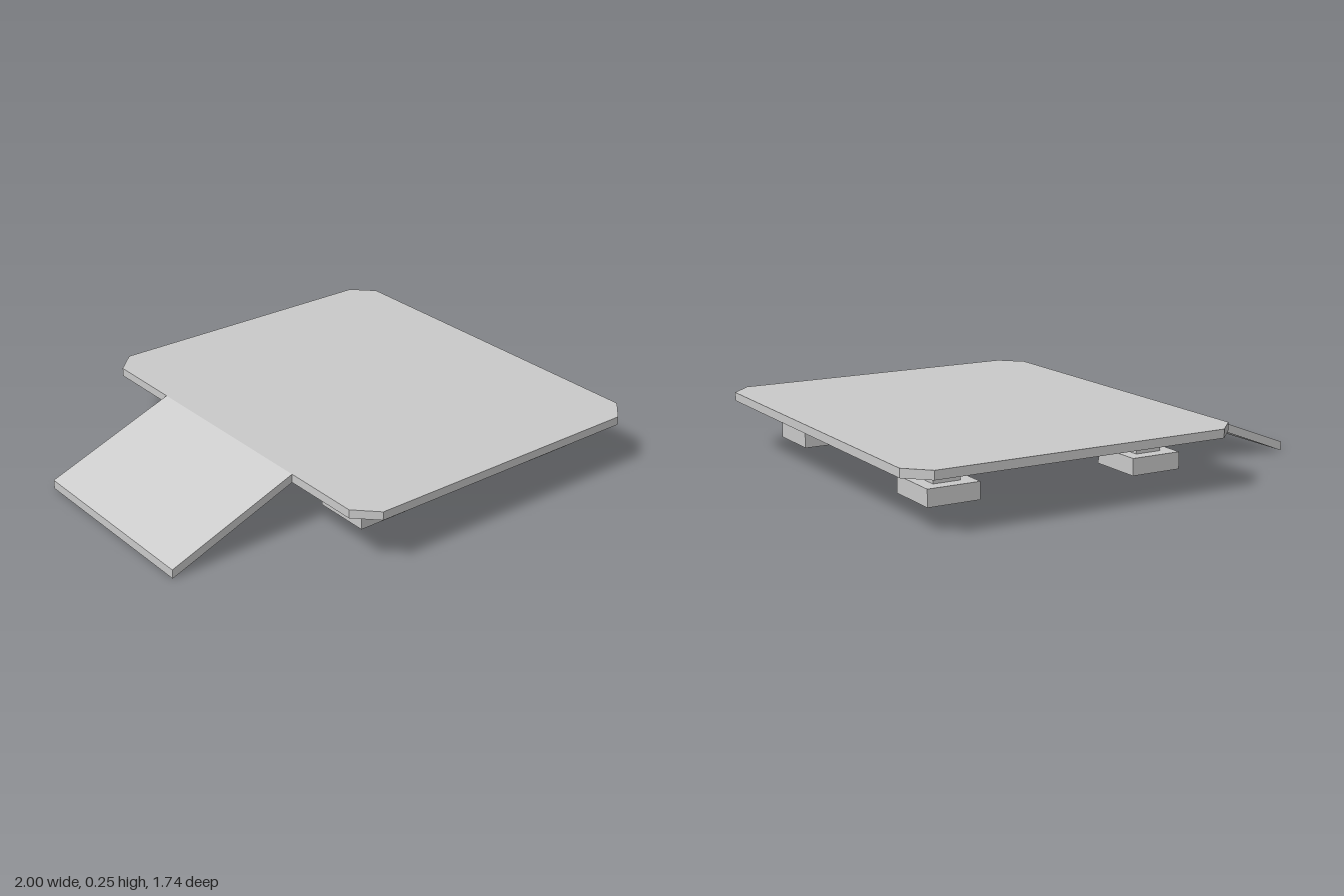
import * as THREE from 'three';

const material = new THREE.MeshStandardMaterial({ color: 0xcccccc, flatShading: true });

const DECK_X = 0.28; // centre of the deck along x

function addMesh(parent, name, geometry, x = 0, y = 0, z = 0) {
  const mesh = new THREE.Mesh(geometry, material);
  mesh.name = name;
  mesh.position.set(x, y, z);
  parent.add(mesh);
  return mesh;
}

// Rectangle with cut corners, counter-clockwise seen from above
function deckRing(scale, y) {
  const a = 0.72, b = 0.87, c = 0.09;
  return [
    [a, b - c], [a, c - b], [a - c, -b], [c - a, -b],
    [-a, c - b], [-a, b - c], [c - a, b], [a - c, b],
  ].map(([x, z]) => new THREE.Vector3(x * scale, y, z * scale));
}

// Closed solid through stacked rings, listed from bottom to top
function loft(rings) {
  const points = [];
  const n = rings[0].length;
  const bottom = rings[0];
  const top = rings[rings.length - 1];
  for (let r = 0; r < rings.length - 1; r++) {
    const lo = rings[r], hi = rings[r + 1];
    for (let i = 0; i < n; i++) {
      const j = (i + 1) % n;
      points.push(lo[i], lo[j], hi[j], lo[i], hi[j], hi[i]);
    }
  }
  for (let i = 1; i < n - 1; i++) {
    points.push(top[0], top[i], top[i + 1]);
    points.push(bottom[0], bottom[i + 1], bottom[i]);
  }
  const geometry = new THREE.BufferGeometry().setFromPoints(points);
  geometry.computeVertexNormals();
  return geometry;
}

export function createModel() {
  const model = new THREE.Group();
  model.name = 'rampedPlatform';

  // Deck: flat slab with a shallow tapered underside
  const deck = loft([deckRing(0.71, 0.205), deckRing(1, 0.217), deckRing(1, 0.253)]);
  addMesh(model, 'deck', deck, DECK_X);

  // Ramp: sloping slab from the ground up to the deck edge
  const profile = new THREE.Shape([
    new THREE.Vector2(-1, 0),
    new THREE.Vector2(-0.44, 0.217),
    new THREE.Vector2(-0.44, 0.253),
    new THREE.Vector2(-1, 0.038),
  ]);
  const ramp = new THREE.ExtrudeGeometry(profile, { depth: 0.87, bevelEnabled: false });
  addMesh(model, 'ramp', ramp, 0, 0, -0.435);

  // Four feet: short post on a wider pad
  for (const sx of [-1, 1]) {
    for (const sz of [-1, 1]) {
      const foot = new THREE.Group();
      foot.name = 'foot';
      foot.position.set(DECK_X - 0.005 + sx * 0.45, 0, sz * 0.547);
      addMesh(foot, 'post', new THREE.BoxGeometry(0.115, 0.085, 0.135), 0, 0.1725, 0);
      addMesh(foot, 'pad', new THREE.BoxGeometry(0.22, 0.07, 0.244), 0, 0.095, 0);
      model.add(foot);
    }
  }
  return model;
}
